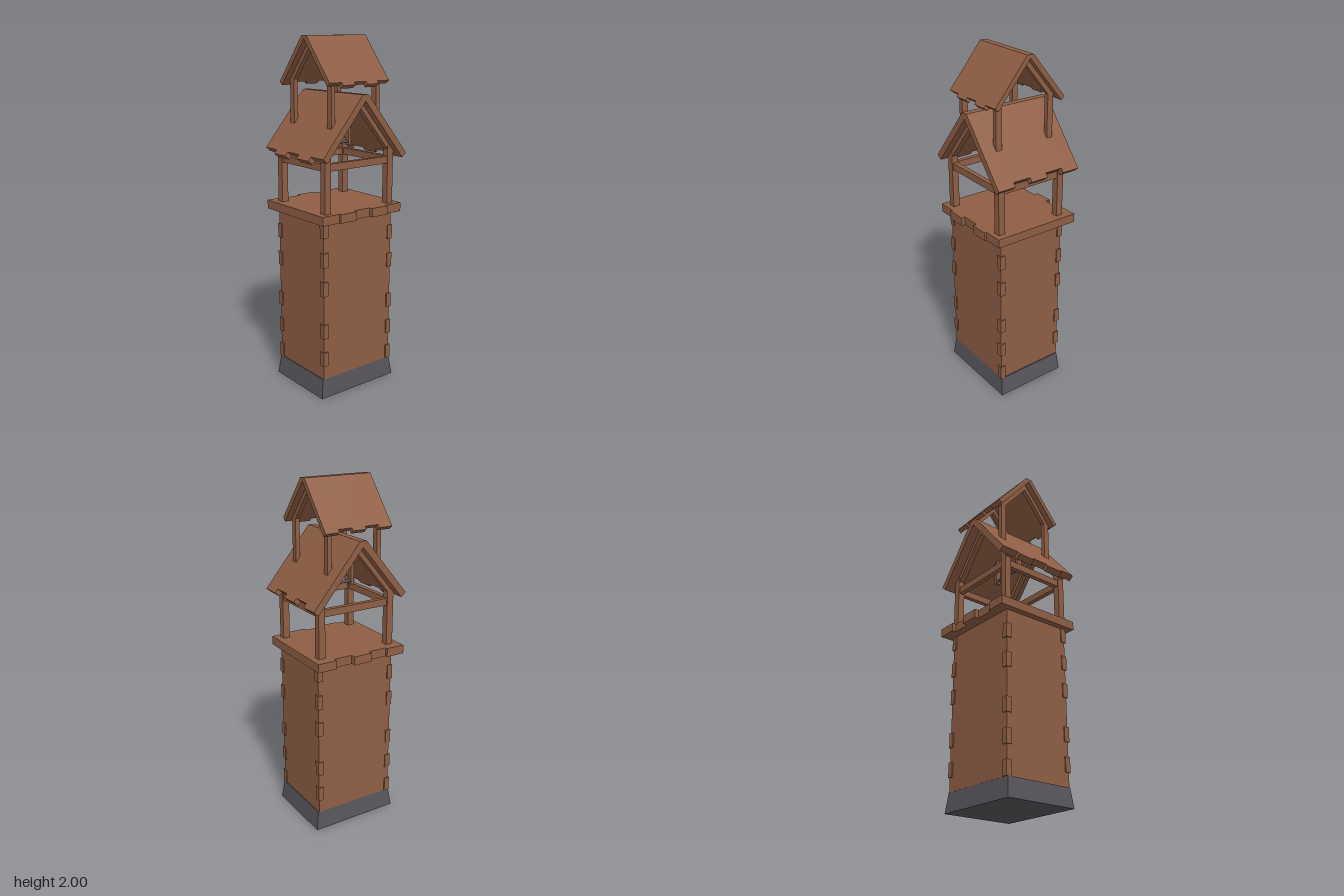
import * as THREE from 'three';

const wood = new THREE.MeshStandardMaterial({ color: 0x8f5e44 });
wood.name = 'brown wood';
const stone = new THREE.MeshStandardMaterial({ color: 0x57555b });
stone.name = 'grey stone';

const SLOPE = 1.2;                       // roof rise per unit run
const LEN = Math.hypot(SLOPE, 1);

function add(parent, name, geometry, material = wood) {
  const mesh = new THREE.Mesh(geometry, material);
  mesh.name = name;
  parent.add(mesh);
  return mesh;
}

// Box given by its limits on each axis
function box(parent, name, [x0, x1], [y0, y1], [z0, z1], material = wood) {
  const g = new THREE.BoxGeometry(x1 - x0, y1 - y0, z1 - z0);
  g.translate((x0 + x1) / 2, (y0 + y1) / 2, (z0 + z1) / 2);
  return add(parent, name, g, material);
}

// One sloping board from ridge to eave, extruded along z
function slopeBoard(parent, name, side, apex, flat, eave, thick, z0, z1) {
  const y = apex - SLOPE * eave;
  const pts = [
    [0, apex - SLOPE * flat],
    [flat, apex - SLOPE * flat],
    [eave, y],
    [eave - thick * SLOPE / LEN, y - thick / LEN],
    [0, apex - thick * LEN],
  ].slice(flat > 0 ? 0 : 1);
  const shape = new THREE.Shape(pts.map(([u, v]) => new THREE.Vector2(u * side, v)));
  const g = new THREE.ExtrudeGeometry(shape, { depth: z1 - z0, bevelEnabled: false });
  g.translate(0, 0, z0);
  add(parent, name, g);
}

// Gabled roof of five staggered planks a side, with rafters beneath
function roof(name, { apex, half, long, short, thick, rafterEave, rafters, rafterWidth }) {
  const group = new THREE.Group();
  group.name = name;
  const w = 2 * half / 5;
  for (const side of [1, -1]) {
    for (let i = 0; i < 5; i++) {
      const isLong = (i % 2 === 0) === (side === 1);
      slopeBoard(group, 'roofPlank', side, apex, 0.02, isLong ? long : short, thick,
        -half + i * w, -half + (i + 1) * w);
    }
    for (const z of rafters) {
      slopeBoard(group, 'rafter', side, apex - thick * LEN, 0, rafterEave, 0.025,
        z - rafterWidth / 2, z + rafterWidth / 2);
    }
  }
  return group;
}

export function createModel() {
  const model = new THREE.Group();
  model.name = 'woodenTower';

  // Tapered stone footing
  const foot = new THREE.BoxGeometry(0.53, 0.11, 0.44);
  const p = foot.attributes.position;
  for (let i = 0; i < p.count; i++) {
    if (p.getY(i) > 0) p.setXYZ(i, p.getX(i) * 0.94, p.getY(i), p.getZ(i) * 0.95);
  }
  foot.translate(0, 0.055, 0.01);
  foot.computeVertexNormals();
  add(model, 'footing', foot, stone);

  // Tower shaft with staggered corner blocks
  box(model, 'shaft', [-0.243, 0.243], [0.11, 1.02], [-0.2, 0.22]);
  const rows = [
    [0.19, 0.355, 0.605, 0.77, 0.937],
    [0.11, 0.272, 0.438, 0.687, 0.855],
  ];
  for (const sx of [-1, 1]) {
    for (const sz of [-1, 1]) {
      for (const y of rows[sx * sz < 0 ? 0 : 1]) {
        const block = box(model, 'cornerBlock', [-0.0165, 0.0165], [y, y + 0.083], [-0.0165, 0.0165]);
        block.position.set(sx * 0.2325, 0, 0.01 + sz * 0.2);
      }
    }
  }

  // Platform of five uneven planks
  const back = [-0.265, -0.25, -0.275, -0.245, -0.268];
  const front = [0.262, 0.275, 0.25, 0.273, 0.26];
  for (let i = 0; i < 5; i++) {
    const x = -0.28 + i * 0.112;
    box(model, 'platformPlank', [x, x + 0.112], [1.02, 1.07], [back[i], front[i]]);
  }

  // Lookout posts and tie beams
  for (const s of [-1, 1]) {
    for (const z of [-0.188, 0.211]) {
      box(model, 'lookoutPost', [s * 0.221 - 0.02, s * 0.221 + 0.02], [1.07, 1.4], [z - 0.02, z + 0.02]);
    }
    box(model, 'sideBeam', [s * 0.221 - 0.014, s * 0.221 + 0.014], [1.3, 1.34], [-0.168, 0.191]);
    const zb = s > 0 ? 0.211 : -0.188;
    box(model, 'crossBeam', [-0.201, 0.201], [1.3, 1.34], [zb - 0.014, zb + 0.014]);
  }

  // Lower roof, ridge running front to back
  const lower = roof('lowerRoof', {
    apex: 1.719, half: 0.2675, long: 0.301, short: 0.284, thick: 0.037,
    rafterEave: 0.25, rafters: [-0.193, 0.206], rafterWidth: 0.035,
  });
  lower.position.z = 0.0055;
  model.add(lower);

  // Hanging rod between two brackets under the lower roof
  for (const s of [-1, 1]) {
    box(model, 'rodBracket', [s * 0.1 - 0.01, s * 0.1 + 0.01], [1.39, 1.55], [-0.01, 0.02]);
  }
  const rod = add(model, 'rod', new THREE.CylinderGeometry(0.009, 0.009, 0.235, 8), stone);
  rod.rotation.z = Math.PI / 2;
  rod.position.set(0, 1.41, 0.005);

  // Upper posts standing on the lower roof
  for (const s of [-1, 1]) {
    for (const z of [-0.162, 0.174]) {
      box(model, 'upperPost', [s * 0.155 - 0.013, s * 0.155 + 0.013], [1.5, 1.765], [z - 0.018, z + 0.018]);
    }
  }

  // Upper roof, ridge running side to side
  const upper = roof('upperRoof', {
    apex: 2.024, half: 0.206, long: 0.232, short: 0.22, thick: 0.028,
    rafterEave: 0.19, rafters: [-0.155, 0.155], rafterWidth: 0.026,
  });
  upper.rotation.y = Math.PI / 2;
  upper.position.z = 0.005;
  model.add(upper);

  return model;
}
